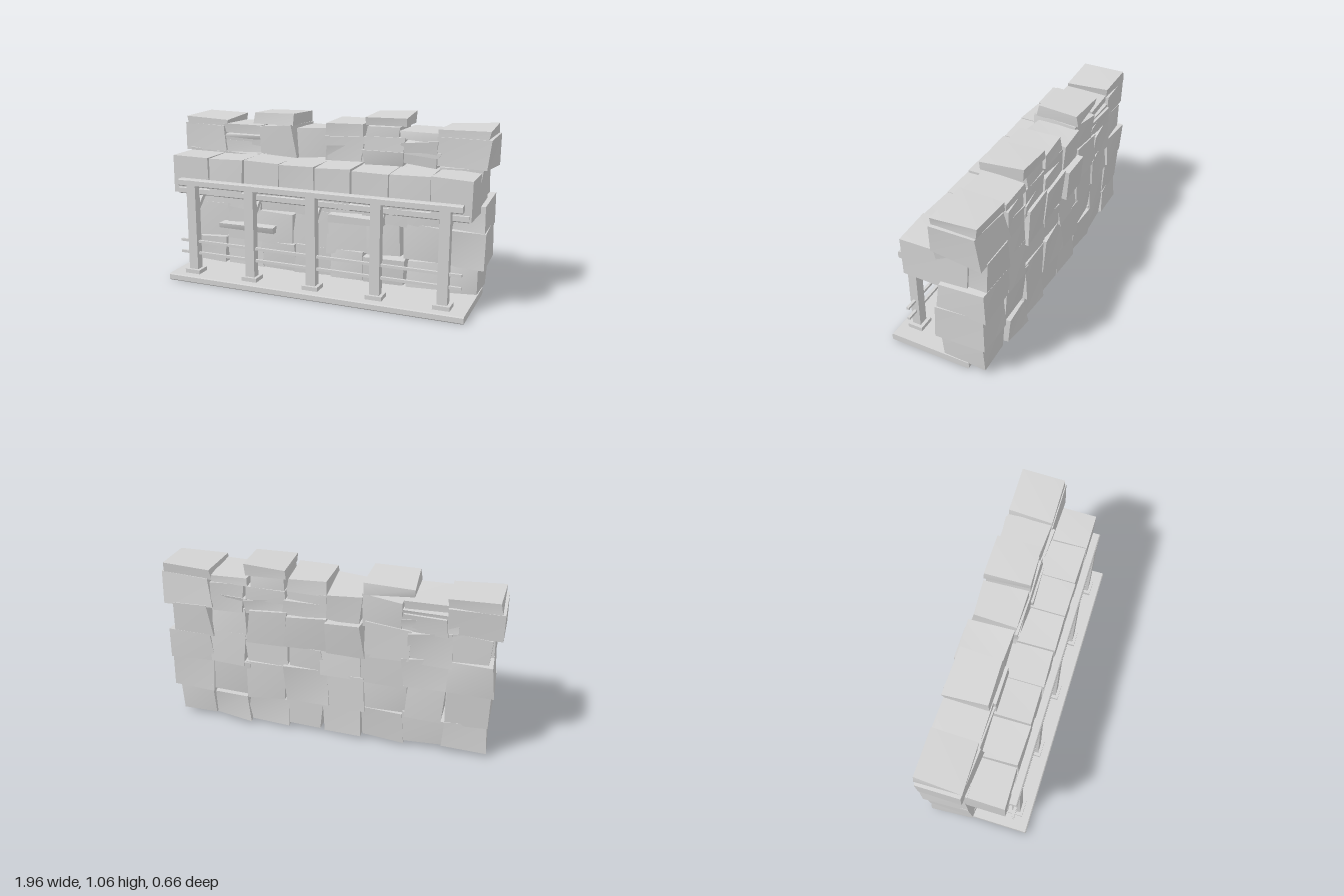
import * as THREE from 'three';

const stone = new THREE.MeshStandardMaterial({ color: 0xd4d4d4 });
stone.name = 'pale grey';

// small seeded generator for the rough block corners
let seed = 11;
const rand = () => {
  seed = (seed * 16807) % 2147483647;
  return (seed / 2147483647) * 2 - 1;
};

function add(parent, name, geometry) {
  const mesh = new THREE.Mesh(geometry, stone);
  mesh.name = name;
  parent.add(mesh);
  return mesh;
}

function box(parent, name, x0, x1, y0, y1, z0, z1) {
  const mesh = add(parent, name, new THREE.BoxGeometry(x1 - x0, y1 - y0, z1 - z0));
  mesh.position.set((x0 + x1) / 2, (y0 + y1) / 2, (z0 + z1) / 2);
  return mesh;
}

// bar with a chamfered outline, running along x
function rail(parent, name, x0, x1, y0, y1, z0, z1, c = 0.006) {
  const shape = new THREE.Shape();
  shape.moveTo(-z1 + c, y0);
  shape.lineTo(-z0 - c, y0);
  shape.lineTo(-z0, y0 + c);
  shape.lineTo(-z0, y1 - c);
  shape.lineTo(-z0 - c, y1);
  shape.lineTo(-z1 + c, y1);
  shape.lineTo(-z1, y1 - c);
  shape.lineTo(-z1, y0 + c);
  const g = new THREE.ExtrudeGeometry(shape, { depth: x1 - x0, bevelEnabled: false });
  g.rotateY(Math.PI / 2);
  g.translate(x0, 0, 0);
  return add(parent, name, g);
}

// rough block: a box whose eight corners are each nudged; each side stays softly shaded
function block(parent, name, x0, x1, y0, y1, z0, z1, j) {
  const mesh = box(parent, name, x0, x1, y0, y1, z0, z1);
  const p = mesh.geometry.attributes.position;
  const nudges = Array.from({ length: 8 }, () => [rand() * j, rand() * j, rand() * j]);
  for (let i = 0; i < p.count; i++) {
    const n = nudges[(p.getX(i) > 0 ? 1 : 0) + (p.getY(i) > 0 ? 2 : 0) + (p.getZ(i) > 0 ? 4 : 0)];
    p.setXYZ(i, p.getX(i) + n[0], p.getY(i) + n[1], p.getZ(i) + n[2]);
  }
  mesh.geometry.computeVertexNormals();
  return mesh;
}

function group(parent, name) {
  const g = new THREE.Group();
  g.name = name;
  parent.add(g);
  return g;
}

export function createModel() {
  const model = new THREE.Group();
  model.name = 'stoneWallWithStand';

  // base plate
  rail(model, 'basePlate', -0.92, 0.94, 0.003, 0.045, -0.175, 0.325);

  // timber stand
  const stand = group(model, 'stand');
  for (const x of [-0.785, -0.39, 0.01, 0.405, 0.8]) {
    box(stand, 'post', x - 0.03, x + 0.03, 0.045, 0.635, 0.203, 0.255);
    box(stand, 'postFoot', x - 0.05, x + 0.05, 0.045, 0.07, 0.183, 0.273);
    const brace = box(stand, 'brace', x - 0.015, x + 0.015, 0.395, 0.575, 0.141, 0.169);
    brace.rotation.x = -Math.PI / 4;
  }
  rail(stand, 'topRail', -0.87, 0.895, 0.597, 0.64, 0.208, 0.255);
  rail(stand, 'shelf', -0.9, 0.92, 0.538, 0.58, -0.02, 0.208);
  for (const y of [0.17, 0.245]) box(stand, 'thinBar', -0.88, 0.9, y - 0.008, y + 0.008, 0.22, 0.236);

  // front course resting on the shelf
  const front = group(model, 'frontCourse');
  const frontEdges = [-0.93, -0.69, -0.45, -0.215, 0.01, 0.24, 0.465, 0.7, 0.94];
  for (let i = 0; i < 8; i++) {
    block(front, 'frontBlock', frontEdges[i] + 0.004, frontEdges[i + 1] - 0.004, 0.545, 0.772, -0.19, 0.204, 0.007);
  }

  // main wall, five courses of eight rough blocks
  const wall = group(model, 'wall');
  const courses = [
    { y: [0.04, 0.21], x: [-0.94, -0.7, -0.45, -0.2, 0.04, 0.25, 0.5, 0.72, 0.95] },
    { y: [0.21, 0.43], x: [-0.95, -0.68, -0.47, -0.22, 0.0, 0.26, 0.48, 0.71, 0.97] },
    { y: [0.42, 0.6], x: [-0.94, -0.7, -0.44, -0.2, 0.03, 0.24, 0.5, 0.7, 0.96] },
    { y: [0.59, 0.79], x: [-0.92, -0.69, -0.46, -0.21, 0.0, 0.25, 0.47, 0.7, 0.93] },
    { y: [0.78, 0.94], x: [-0.98, -0.68, -0.42, -0.2, 0.0, 0.24, 0.48, 0.69, 0.985] },
  ];
  const topHeights = [0.93, 0.88, 0.96, 0.95, 0.93, 0.86, 0.92, 0.96];
  courses.forEach(({ y, x }, row) => {
    for (let i = 0; i < 8; i++) {
      const top = row === 4 ? topHeights[i] : y[1] + rand() * 0.02;
      const out = rand() * 0.01;
      // one block in the fourth course stands proud at the back
      const back = row === 3 && i === 3 ? -0.32 : -0.29 + out;
      const b = block(wall, 'wallBlock', x[i], x[i + 1], y[0] - 0.004, top, back, -0.015 + out, 0.017);
      b.rotation.z = rand() * 0.05;
      b.rotation.y = rand() * 0.04;
    }
  });

  // uneven cap stones: x0, x1, y0, y1
  const caps = [
    [-0.95, -0.67, 0.93, 0.985], [-0.69, -0.43, 0.9, 0.95], [-0.48, -0.21, 0.965, 1.03],
    [0.0, 0.23, 0.92, 1.005], [0.24, 0.485, 1.0, 1.055], [0.25, 0.45, 0.92, 1.0],
    [0.46, 0.69, 0.925, 0.98], [0.69, 0.97, 0.945, 1.01],
  ];
  for (const [x0, x1, y0, y1] of caps) {
    block(wall, 'capStone', x0, x1, y0, y1, -0.275, -0.018, 0.01);
  }
  // thin filler slabs between the upper stones
  for (const [x0, x1, y0, y1] of [
    [-0.73, -0.42, 0.78, 0.85], [-0.68, -0.42, 0.87, 0.895], [0.0, 0.25, 0.78, 0.87],
    [0.24, 0.48, 0.85, 0.93], [0.46, 0.7, 0.84, 0.86],
  ]) block(wall, 'fillerSlab', x0, x1, y0, y1, -0.285, -0.01, 0.01);

  // slabs jutting out under the shelf
  block(wall, 'juttingSlab', -0.72, -0.33, 0.287, 0.327, -0.1, 0.05, 0.012);
  block(wall, 'juttingSlab', 0.04, 0.38, 0.412, 0.455, -0.1, 0.05, 0.008);

  return model;
}
